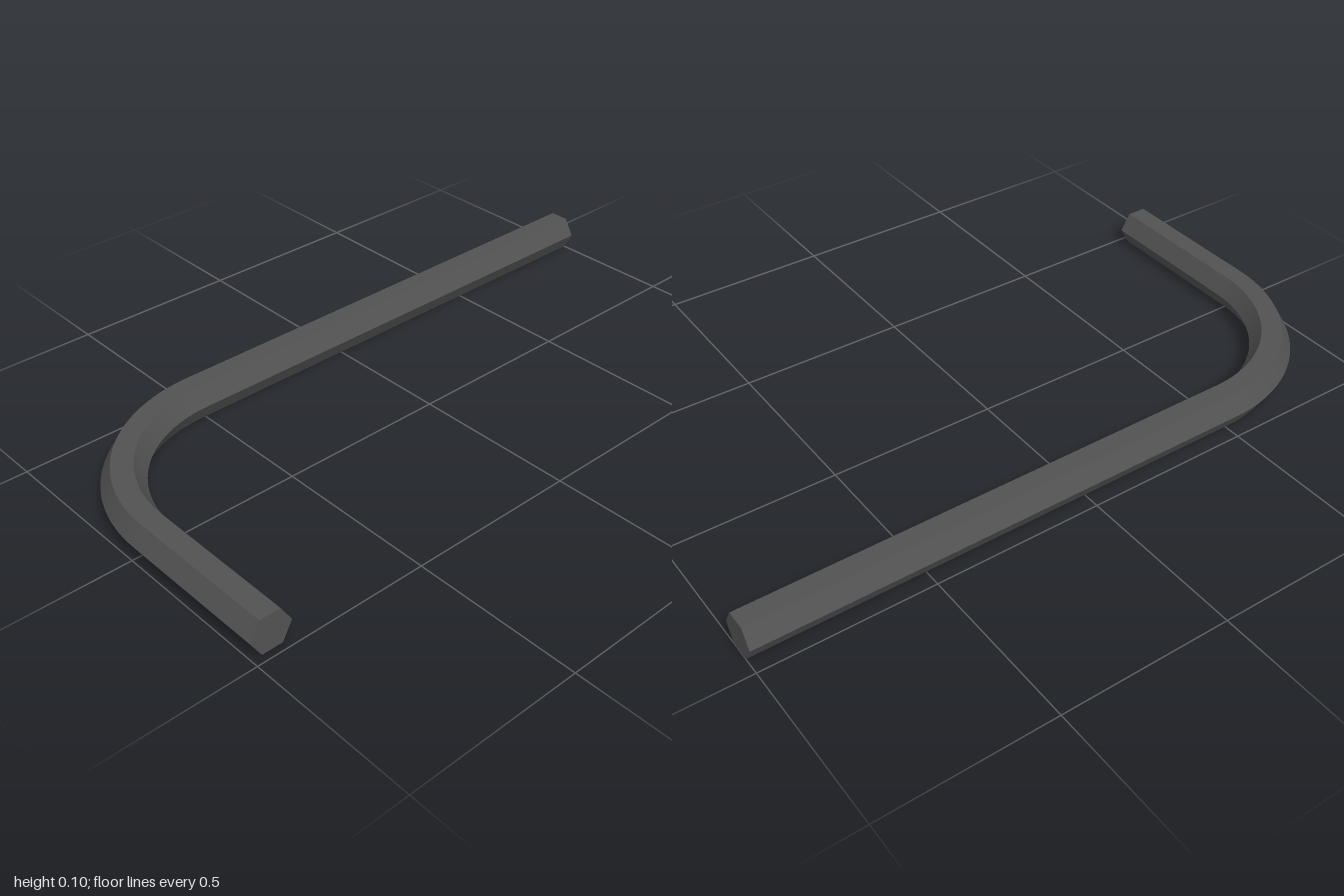
import * as THREE from 'three';

const R = 0.06;                       // hexagon corner radius
const H = R * Math.sqrt(3) / 2;       // half the distance across flats
const BEND = 0.43;                    // centreline bend radius
const CX = -1 + R + BEND, CZ = -0.478 + R + BEND; // bend centre
const STEPS = 32;

// Cross-sections along the rod: centre plus the direction to the outside of the bend
function sections() {
  const list = [{ x: -1 + R, z: 0.478, nx: -1, nz: 0 }];
  for (let i = 0; i <= STEPS; i++) {
    const a = Math.PI + (i / STEPS) * Math.PI / 2;
    const nx = Math.cos(a), nz = Math.sin(a);
    list.push({ x: CX + BEND * nx, z: CZ + BEND * nz, nx, nz });
  }
  list.push({ x: 1, z: -0.478 + R, nx: 0, nz: -1 });
  return list;
}

function corner(s, k) {
  const a = k * Math.PI / 3, u = R * Math.cos(a);
  return [s.x + s.nx * u, H + R * Math.sin(a), s.z + s.nz * u];
}

function hexRod() {
  const rings = sections(), pos = [], idx = [];
  // Six separate strips: smooth along the rod, sharp at the hexagon's corners
  for (let k = 0; k < 6; k++) {
    const base = pos.length / 3;
    rings.forEach((s) => pos.push(...corner(s, k), ...corner(s, k + 1)));
    for (let i = 0; i < rings.length - 1; i++) {
      const a = base + i * 2;
      idx.push(a, a + 1, a + 2, a + 1, a + 3, a + 2);
    }
  }
  // Flat hexagonal ends
  [rings[0], rings[rings.length - 1]].forEach((s, end) => {
    const base = pos.length / 3;
    for (let k = 0; k < 6; k++) pos.push(...corner(s, k));
    for (let k = 1; k < 5; k++) {
      if (end) idx.push(base, base + k, base + k + 1);
      else idx.push(base, base + k + 1, base + k);
    }
  });
  const g = new THREE.BufferGeometry();
  g.setAttribute('position', new THREE.Float32BufferAttribute(pos, 3));
  g.setIndex(idx);
  g.computeVertexNormals();
  return g;
}

export function createModel() {
  const group = new THREE.Group();
  group.name = 'hexKey';
  const rod = new THREE.Mesh(hexRod(), new THREE.MeshStandardMaterial({ color: 0x525252 }));
  rod.name = 'bentHexRod';
  group.add(rod);
  return group;
}
